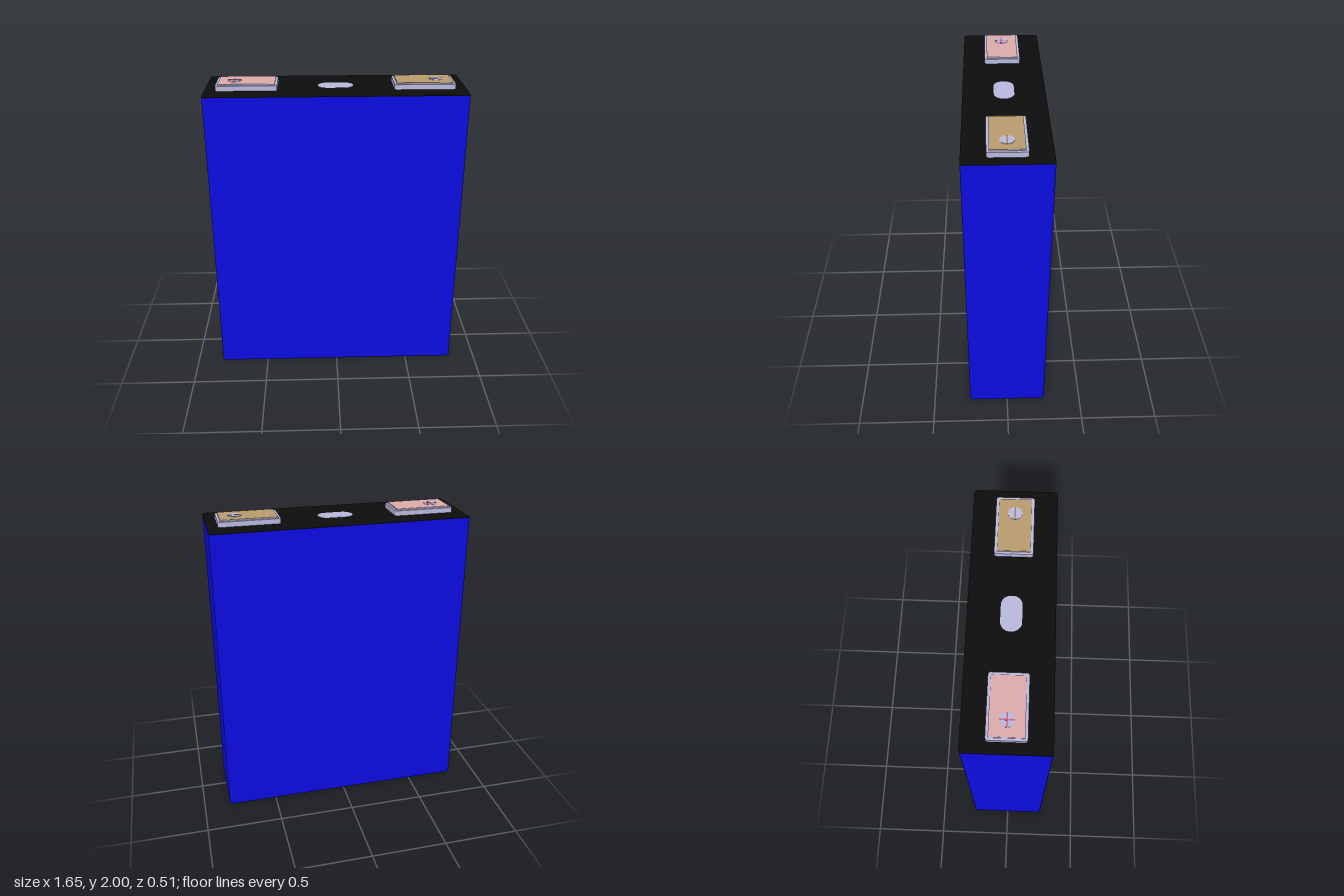
import * as THREE from 'three';

const mat = (color) => new THREE.MeshStandardMaterial({ color });

// Rounded rectangle (w along x, d along z) extruded upward from y0 to y1
function slab(name, w, d, r, y0, y1, material, x = 0) {
  const a = w / 2, b = d / 2, s = new THREE.Shape();
  s.moveTo(-a + r, -b);
  s.lineTo(a - r, -b);
  s.absarc(a - r, -b + r, r, -Math.PI / 2, 0);
  s.absarc(a - r, b - r, r, 0, Math.PI / 2);
  s.absarc(-a + r, b - r, r, Math.PI / 2, Math.PI);
  s.absarc(-a + r, -b + r, r, Math.PI, Math.PI * 1.5);
  const geo = new THREE.ExtrudeGeometry(s, { depth: y1 - y0, bevelEnabled: false, curveSegments: 10 });
  geo.rotateX(-Math.PI / 2);
  const mesh = new THREE.Mesh(geo, material);
  mesh.name = name;
  mesh.position.set(x, y0, 0);
  return mesh;
}

export function createModel() {
  const model = new THREE.Group();
  model.name = 'batteryCell';
  const metal = mat(0xb8b8de);

  // Case, lid film and safety vent
  model.add(slab('case', 1.65, 0.512, 0.02, 0, 1.953, mat(0x0c0ce0)));
  model.add(slab('lid', 1.65, 0.512, 0.02, 1.953, 1.956, mat(0x0d0d0d)));
  model.add(slab('vent', 0.224, 0.126, 0.058, 1.953, 1.958, metal));

  // Terminals: stepped metal block, coloured pad, round badge with polarity mark
  const terminals = [
    { name: 'positiveTerminal', side: -1, pad: 0xdcaaaa, mark: 0xd0607c, bars: 2 },
    { name: 'negativeTerminal', side: 1, pad: 0xb89c6e, mark: 0xa08458, bars: 1 },
  ];
  for (const t of terminals) {
    const g = new THREE.Group();
    g.name = t.name;
    const x = t.side * 0.563;
    g.add(slab('terminalBase', 0.388, 0.232, 0.016, 1.954, 1.988, metal, x));
    g.add(slab('terminalStep', 0.358, 0.202, 0.004, 1.988, 1.994, metal, x));
    g.add(slab('terminalPad', 0.354, 0.198, 0.004, 1.994, 1.996, mat(t.pad), x));

    const badge = new THREE.Mesh(new THREE.CylinderGeometry(0.043, 0.043, 0.003, 32), metal);
    badge.name = 'badge';
    badge.position.set(t.side * 0.642, 1.9965, 0);
    g.add(badge);

    for (let i = 0; i < t.bars; i++) {
      const bar = new THREE.Mesh(new THREE.BoxGeometry(0.086, 0.003, 0.008), mat(t.mark));
      bar.name = 'polarityBar';
      // the crossing bar sits a hair lower so the tops do not coincide
      bar.position.set(t.side * 0.642, 1.9985 - i * 0.0003, 0);
      bar.rotation.y = i * Math.PI / 2;
      g.add(bar);
    }
    model.add(g);
  }
  return model;
}
